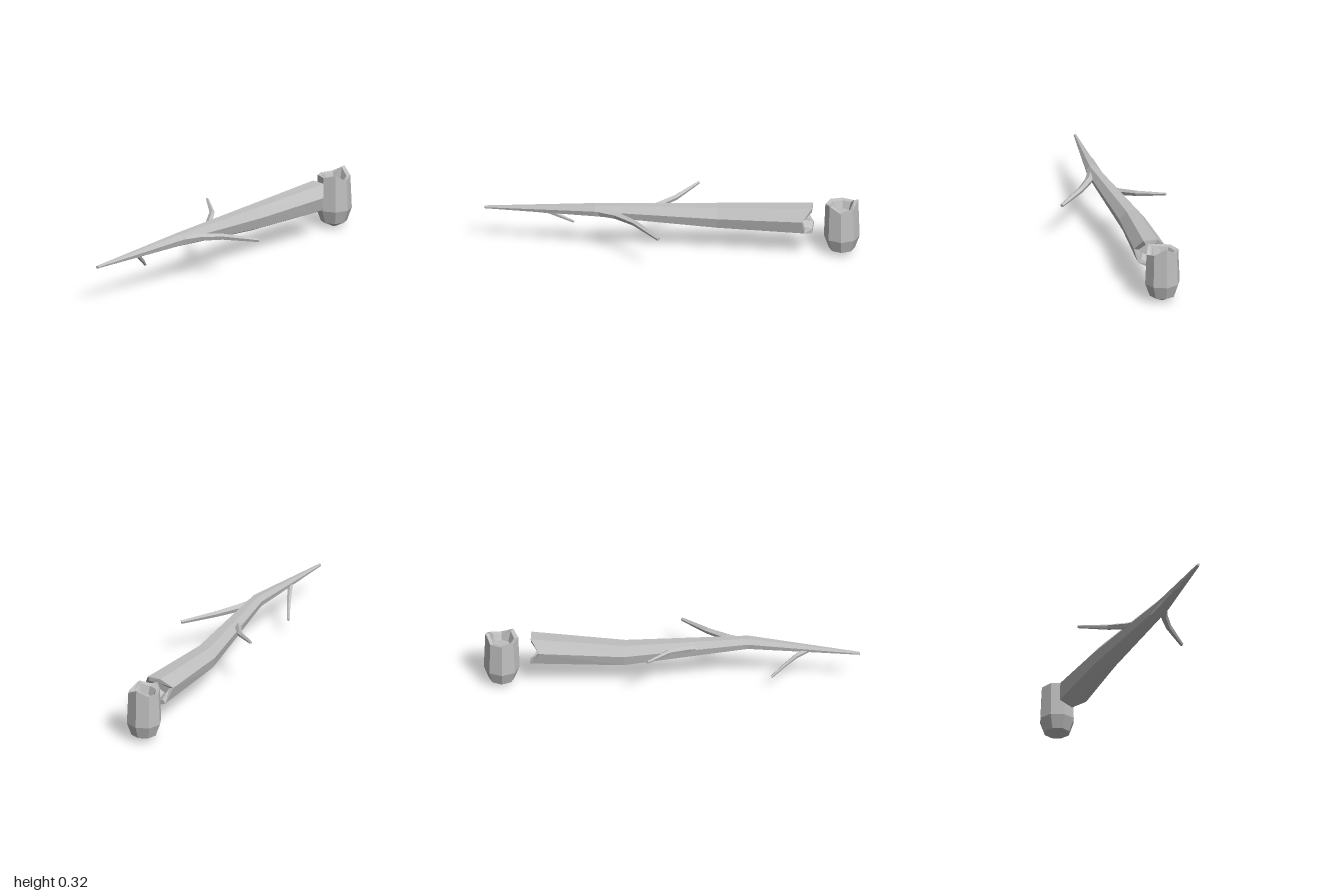
import * as THREE from 'three';

const wood = new THREE.MeshStandardMaterial({ color: 0xbfbfbf, flatShading: true });
wood.name = 'bare wood';

// Ring of points round a centre, counter-clockwise about axis u x v; shift moves each point along the axis
function ring(center, u, v, radius, sides, phase, shift = []) {
  const axis = new THREE.Vector3().crossVectors(u, v);
  return Array.from({ length: sides }, (_, i) => {
    const a = phase + (i / sides) * Math.PI * 2;
    return center.clone()
      .addScaledVector(u, Math.cos(a) * radius)
      .addScaledVector(v, Math.sin(a) * radius)
      .addScaledVector(axis, shift[i] ?? 0);
  });
}

// Skin through the rings with a fan at each end
function loft(name, rings) {
  const pos = [];
  const n = rings[0].length;
  const tri = (...points) => points.forEach((p) => pos.push(p.x, p.y, p.z));
  const middle = (r) => r.reduce((s, p) => s.add(p), new THREE.Vector3()).divideScalar(n);
  const first = rings[0];
  const last = rings[rings.length - 1];
  const start = middle(first);
  const end = middle(last);
  for (let i = 0; i < n; i++) {
    const j = (i + 1) % n;
    for (let k = 0; k < rings.length - 1; k++) {
      const a = rings[k];
      const b = rings[k + 1];
      tri(a[i], a[j], b[j]);
      tri(a[i], b[j], b[i]);
    }
    tri(start, first[j], first[i]);
    tri(end, last[i], last[j]);
  }
  const geometry = new THREE.BufferGeometry();
  geometry.setAttribute('position', new THREE.Float32BufferAttribute(pos, 3));
  geometry.computeVertexNormals();
  const mesh = new THREE.Mesh(geometry, wood);
  mesh.name = name;
  return mesh;
}

const X = new THREE.Vector3(1, 0, 0);
const Y = new THREE.Vector3(0, 1, 0);
const Z = new THREE.Vector3(0, 0, 1);

// Fallen trunk: hollow splintered end, bent and tapering to a point
function makeTrunk() {
  const jag = [0, -0.05, -0.05, -0.02, -0.01, -0.055, -0.05];
  const sections = [ // x, y, z, radius, jagged
    [-0.095, 0.208, -0.66, 0.045, false],
    [-0.095, 0.208, -0.7, 0.062, true],
    [-0.095, 0.208, -0.7, 0.088, true],
    [-0.07, 0.197, -0.25, 0.07, false],
    [0.045, 0.235, 0.4, 0.037, false],
    [0.05, 0.206, 1, 0.008, false],
  ];
  return loft('fallenTrunk', sections.map(([x, y, z, r, jagged]) =>
    ring(new THREE.Vector3(x, y, z), X, Y, r, 7, 2.88, jagged ? jag : [])));
}

// Stump: rounded foot, straight wall, splintered rim round a hollow
function makeStump() {
  const jag = [0.01, 0.025, -0.01, 0.005, 0.04, 0.005, 0.005, 0.01];
  const sections = [ // y, radius, jagged
    [0.004, 0.008, false],
    [0.033, 0.07, false],
    [0.105, 0.096, false],
    [0.28, 0.088, true],
    [0.275, 0.066, true],
    [0.24, 0.05, false],
  ];
  return loft('stump', sections.map(([y, r, jagged]) =>
    ring(new THREE.Vector3(-0.133, y, -0.905), Z, X, r, 8, 0.12, jagged ? jag : [])));
}

// Branch: five-sided bent taper; each row is x, y, z, radius
function makeBranch(name, rows) {
  const points = rows.map(([x, y, z]) => new THREE.Vector3(x, y, z));
  return loft(name, points.map((p, i) => {
    const next = points[Math.min(i + 1, points.length - 1)];
    const prev = points[Math.max(i - 1, 0)];
    const dir = next.clone().sub(prev).normalize();
    const u = new THREE.Vector3().crossVectors(Y, dir).normalize();
    const v = new THREE.Vector3().crossVectors(dir, u);
    return ring(p, u, v, rows[i][3], 5, Math.PI / 2);
  }));
}

export function createModel() {
  const group = new THREE.Group();
  group.name = 'fallenTreeAndStump';
  group.add(
    makeTrunk(),
    makeStump(),
    makeBranch('rightBranch', [
      [0.0, 0.222, 0.19, 0.02], [-0.05, 0.236, 0.09, 0.019],
      [-0.13, 0.261, -0.01, 0.015], [-0.272, 0.286, -0.107, 0.008],
    ]),
    makeBranch('leftBranch', [
      [0.055, 0.232, 0.38, 0.024], [0.085, 0.233, 0.28, 0.021],
      [0.145, 0.226, 0.17, 0.017], [0.27, 0.202, 0.02, 0.01],
    ]),
    makeBranch('lowerTwig', [
      [0.045, 0.212, 0.72, 0.015], [0.01, 0.19, 0.66, 0.013],
      [-0.025, 0.147, 0.6, 0.01], [-0.068, 0.099, 0.537, 0.007],
    ]),
  );
  return group;
}
